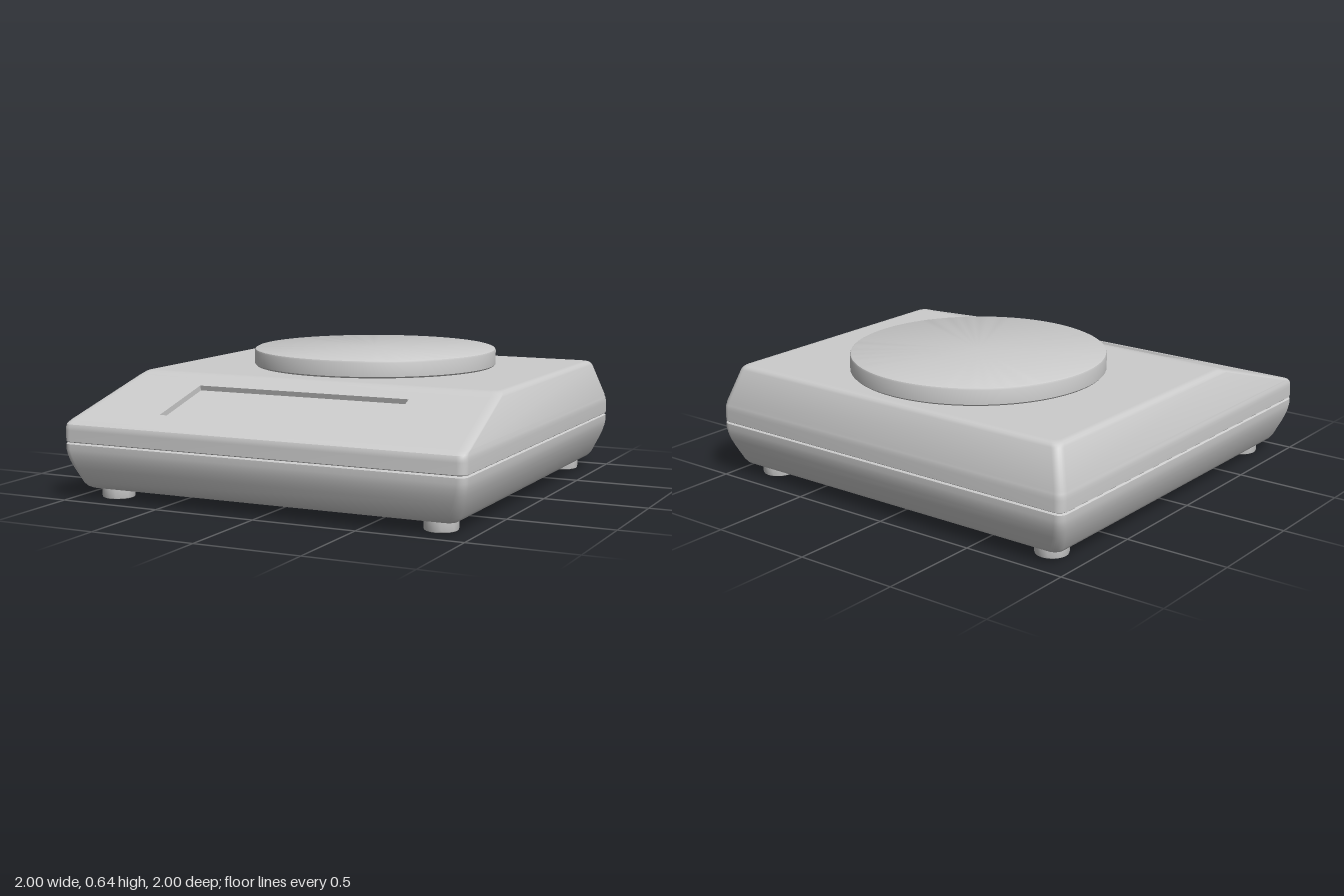
import * as THREE from 'three';
import { toCreasedNormals } from 'three/addons/utils/BufferGeometryUtils.js';

const grey = new THREE.MeshStandardMaterial({ color: 0xcccccc });
const CORNER = 0.04;

// Height of the sloping front panel at depth z, and its inverse
const slopeY = (z) => 0.375 + (0.96 - z) * 0.309;
const slopeZ = (y) => 0.96 - (y - 0.375) / 0.309;
// Half width of the leaning upper walls
const wallW = (y) => 1 - (y - 0.355) * 0.34;

// Horizontal rounded rectangle with half width w, back at -w and front at z = front
function ring(y, w, front = w) {
  const points = [];
  const centres = [[1, front - CORNER], [1, CORNER - w], [-1, CORNER - w], [-1, front - CORNER]];
  centres.forEach(([side, cz], c) => {
    for (let i = 0; i <= 6; i++) {
      const t = (c + i / 6) * Math.PI / 2;
      points.push(new THREE.Vector3(
        side * (w - CORNER) + Math.sin(t) * CORNER, y, cz + Math.cos(t) * CORNER));
    }
  });
  return points;
}

// Skin a stack of rings; openRow leaves out the front strip of one row
function loft(rings, { capStart = false, capEnd = false, openRow = -1, crease = 0.5 } = {}) {
  const pos = [];
  const tri = (...corners) => corners.forEach((p) => pos.push(p.x, p.y, p.z));
  const n = rings[0].length;
  for (let r = 0; r < rings.length - 1; r++) {
    for (let i = 0; i < n; i++) {
      if (r === openRow && i === n - 1) continue;
      const j = (i + 1) % n;
      const [a, b, c, d] = [rings[r][i], rings[r][j], rings[r + 1][j], rings[r + 1][i]];
      tri(a, b, c);
      tri(a, c, d);
    }
  }
  const cap = (points, flip) => {
    const mid = new THREE.Vector3();
    points.forEach((p) => mid.addScaledVector(p, 1 / n));
    points.forEach((p, i) => {
      const q = points[(i + 1) % n];
      if (flip) tri(mid, q, p);
      else tri(mid, p, q);
    });
  };
  if (capStart) cap(rings[0], true);
  if (capEnd) cap(rings[rings.length - 1], false);
  const geometry = new THREE.BufferGeometry();
  geometry.setAttribute('position', new THREE.Float32BufferAttribute(pos, 3));
  return toCreasedNormals(geometry, crease);
}

// Round part turned from a profile of [radius, height]
function turned(profile, segments) {
  const points = profile.map(([r, y]) => new THREE.Vector2(r, y));
  return toCreasedNormals(new THREE.LatheGeometry(points, segments), 0.6);
}

export function createModel() {
  const model = new THREE.Group();
  const add = (name, geometry, x = 0, y = 0, z = 0) => {
    const mesh = new THREE.Mesh(geometry, grey);
    mesh.name = name;
    mesh.position.set(x, y, z);
    model.add(mesh);
  };

  // Lower housing, with a small lip at the seam
  const lower = [[0.05, 0.89], [0.05, 0.9], [0.054, 0.918], [0.064, 0.934], [0.08, 0.945],
    [0.15, 0.975], [0.185, 0.988], [0.215, 0.996], [0.24, 1], [0.266, 1], [0.27, 0.995], [0.272, 0.985]];
  add('lowerHousing', loft(lower.map(([y, w]) => ring(y, w)), { capStart: true }));

  // Upper housing: leaning sides and back, front cut by the slope
  const panelLow = 0.375, panelHigh = 0.53;
  const upper = [[0.272, 0.985, 0.985], [0.274, 0.995, 0.995], [0.278, 1, 1], [0.33, 1, 1],
    [0.345, 0.999, 1], [0.358, 0.997, 0.995], [0.367, 0.994, 0.983],
    [panelLow, wallW(panelLow), slopeZ(panelLow)], [panelHigh, wallW(panelHigh), slopeZ(panelHigh)],
    [0.54, 0.934, slopeZ(0.54)], [0.547, 0.924, 0.41], [0.55, 0.91, 0.385], [0.55, 0.9, 0.37]];
  add('upperHousing', loft(upper.map(([y, w, f]) => ring(y, w, f)), { capEnd: true, openRow: 7 }));

  // Sloping front panel with the display opening
  const opening = [[0.565, 0.85], [0.54, 0.53], [-0.54, 0.53], [-0.565, 0.85]];
  const low = wallW(panelLow) - CORNER, high = wallW(panelHigh) - CORNER;
  const outline = [[low, slopeZ(panelLow)], [high, slopeZ(panelHigh)],
    [-high, slopeZ(panelHigh)], [-low, slopeZ(panelLow)]];
  const toPlan = ([x, z]) => new THREE.Vector2(x, -z);
  const shape = new THREE.Shape(outline.map(toPlan));
  shape.holes.push(new THREE.Path(opening.map(toPlan)));
  const panel = new THREE.ShapeGeometry(shape).rotateX(-Math.PI / 2);
  const p = panel.attributes.position;
  for (let i = 0; i < p.count; i++) p.setY(i, slopeY(p.getZ(i)));
  panel.computeVertexNormals();
  add('frontPanel', panel);

  // Recessed display window
  const inward = new THREE.Vector3(0, -1, -0.309).setLength(0.025);
  const rim = opening.map(([x, z]) => new THREE.Vector3(x, slopeY(z), z));
  const floor = rim.map((v) => v.clone().add(inward));
  add('displayRecess', loft([rim, floor], { capEnd: true }));

  // Weighing plate on its hub
  add('plateHub', new THREE.CylinderGeometry(0.3, 0.3, 0.02, 48), 0, 0.55, -0.28);
  add('weighingPlate', turned([[0, 0.555], [0.598, 0.555], [0.605, 0.562], [0.605, 0.628],
    [0.602, 0.636], [0.594, 0.64], [0, 0.64]], 96), 0, 0, -0.28);

  // Four feet
  for (const x of [-0.82, 0.82]) {
    for (const z of [-0.815, 0.815]) {
      add('foot', turned([[0, 0], [0.07, 0], [0.075, 0.003], [0.077, 0.01], [0.077, 0.055]], 32), x, 0, z);
    }
  }
  return model;
}
